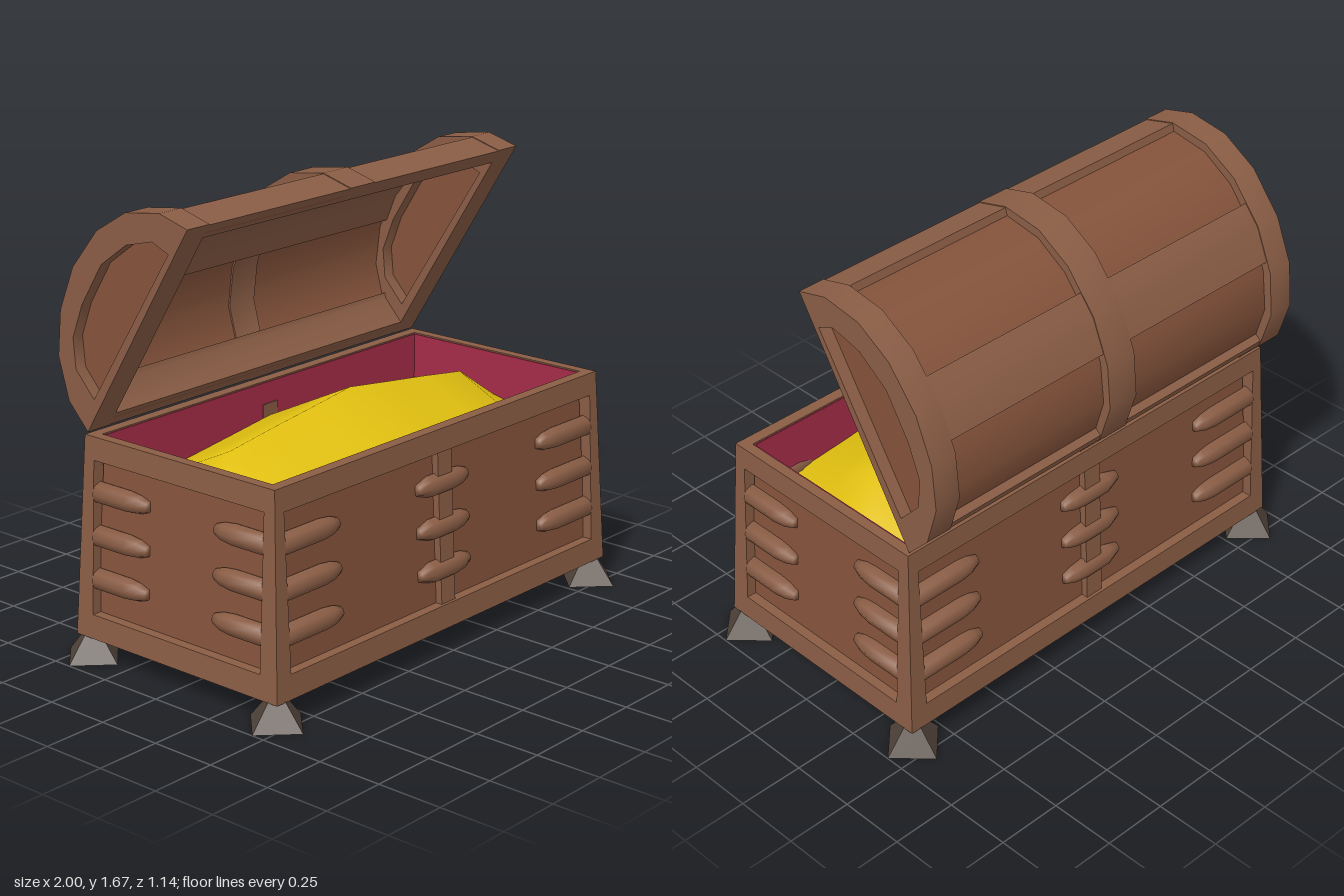
import * as THREE from 'three';
import { toCreasedNormals } from 'three/addons/utils/BufferGeometryUtils.js';

const mat = (color) => new THREE.MeshStandardMaterial({ color, roughness: 0.9, side: THREE.DoubleSide });
const WOOD = mat(0x85533b), FRAME = mat(0x8a5d45), DARK = mat(0x51443a), GOLD = mat(0xe0bf10), RED = mat(0xa52c48);

function add(parent, name, geo, material) {
  const mesh = new THREE.Mesh(geo, material);
  mesh.name = name;
  parent.add(mesh);
  return mesh;
}

// Inward lean of the outer body faces at height y
const lean = (y) => 0.035 * (y - 0.09) / 0.74;

// Box between two corners, with its outer faces leaning inward
function block(parent, name, material, x0, x1, y0, y1, z0, z1) {
  const geo = new THREE.BoxGeometry(x1 - x0, y1 - y0, z1 - z0);
  geo.translate((x0 + x1) / 2, (y0 + y1) / 2, (z0 + z1) / 2);
  const p = geo.attributes.position;
  for (let i = 0; i < p.count; i++) {
    const x = p.getX(i), z = p.getZ(i), d = lean(p.getY(i));
    if (Math.abs(x) > 0.85) p.setX(i, x - Math.sign(x) * d);
    if (Math.abs(z) > 0.405) p.setZ(i, z - Math.sign(z) * d);
  }
  geo.computeVertexNormals();
  return add(parent, name, geo, material);
}

// Rounded strap along x, from a (blunt) to b (tapered); both ends taper if asked
function strapGeometry(length, bothEnds) {
  const h = length / 2, r = 0.04;
  const start = bothEnds ? [[0, -h], [0.02, -h], [r, -h + 0.06]] : [[0, -h], [r, -h]];
  const pts = [...start, [r, h - 0.09], [0.034, h - 0.04], [0.02, h], [0, h]];
  const geo = new THREE.LatheGeometry(pts.map(([x, y]) => new THREE.Vector2(x, y)), 8);
  return geo.rotateZ(-Math.PI / 2);
}

function buildBody() {
  const body = new THREE.Group();
  body.name = 'body';
  for (const s of [-1, 1]) {
    const span = (a, b) => (s > 0 ? [a, b] : [-b, -a]);
    // front and back walls
    block(body, 'longPanel', WOOD, -0.86, 0.86, 0.1, 0.8, ...span(0.432, 0.442));
    block(body, 'longTopRail', FRAME, -0.845, 0.845, 0.745, 0.83, ...span(0.4, 0.48));
    block(body, 'longBottomRail', FRAME, -0.845, 0.845, 0.09, 0.18, ...span(0.4, 0.48));
    block(body, 'centreStrip', FRAME, -0.038, 0.038, 0.18, 0.745, ...span(0.42, 0.468));
    // end walls
    block(body, 'endPanel', WOOD, ...span(0.872, 0.882), 0.1, 0.8, -0.42, 0.42);
    block(body, 'endTopRail', FRAME, ...span(0.845, 0.92), 0.745, 0.83, -0.4, 0.4);
    block(body, 'endBottomRail', FRAME, ...span(0.845, 0.92), 0.09, 0.18, -0.4, 0.4);
    // corner posts and feet
    for (const t of [-1, 1]) {
      const zs = t > 0 ? [0.4, 0.48] : [-0.48, -0.4];
      block(body, 'cornerPost', FRAME, ...span(0.845, 0.92), 0.09, 0.83, ...zs);
      const foot = new THREE.CylinderGeometry(0.035, 0.12, 0.1, 4).toNonIndexed();
      foot.computeVertexNormals();
      add(body, 'foot', foot, DARK).position.set(s * 0.88, 0.05, t * 0.44);
    }
    // cloth lining
    block(body, 'longLining', RED, -0.842, 0.842, 0.6, 0.826, ...span(0.394, 0.398));
    block(body, 'endLining', RED, ...span(0.838, 0.842), 0.6, 0.826, -0.396, 0.396);
    // straps
    for (const y of [0.305, 0.463, 0.622]) {
      const z = s * (0.447 - lean(y)), x = s * (0.887 - lean(y));
      add(body, 'centreStrap', strapGeometry(0.27, true), FRAME).position.set(0, y, z);
      for (const t of [-1, 1]) {
        const long = add(body, 'cornerStrap', strapGeometry(0.29, false), FRAME);
        long.position.set(t * 0.7, y, z);
        long.rotation.y = t > 0 ? Math.PI : 0;
        const end = add(body, 'endStrap', strapGeometry(0.24, false), FRAME);
        end.position.set(x, y, t * 0.28);
        end.rotation.y = t * Math.PI / 2;
      }
    }
  }
  // heap of gold, highest in the middle
  const heap = new THREE.PlaneGeometry(1.68, 0.79, 8, 4).rotateX(-Math.PI / 2);
  const crest = [0.885, 0.857, 0.83, 0.8, 0.66];
  const p = heap.attributes.position;
  for (let i = 0; i < p.count; i++) {
    const k = Math.round(Math.abs(p.getX(i)) / 0.21);
    p.setY(i, Math.max(0.62, crest[k] - 0.48 * Math.abs(p.getZ(i))));
  }
  heap.computeVertexNormals();
  add(body, 'goldHeap', heap, GOLD);
  body.position.z = 0.01;
  return body;
}

// Lid outline as (-z, y), from the front lip over the curve to the hinge
const ARC = [[-0.07, 1.633], [0.058, 1.668], [0.217, 1.646], [0.358, 1.562], [0.48, 1.416],
  [0.549, 1.252], [0.566, 1.084], [0.52, 0.93], [0.43, 0.836]].map(([u, v]) => new THREE.Vector2(u, v));
const HOLE = [[0.02, 1.535], [0.093, 1.566], [0.217, 1.535], [0.34, 1.447], [0.44, 1.29],
  [0.49, 1.164], [0.48, 1.053], [0.394, 0.96]].map(([u, v]) => new THREE.Vector2(u, v));
const CENTRE = new THREE.Vector2(0.18, 1.235);

const inset = (pts, d) => pts.map((p) => p.clone().add(CENTRE.clone().sub(p).setLength(d)));
const between = (i, t) => ARC[i].clone().lerp(ARC[i + 1], t);

// Extrude a lid cross-section along x
function along(shape, x0, x1) {
  const geo = new THREE.ExtrudeGeometry(shape, { depth: x1 - x0, bevelEnabled: false });
  geo.translate(0, 0, x0).rotateY(Math.PI / 2);
  return toCreasedNormals(geo, 0.7);
}
const layer = (pts, d0, d1) => new THREE.Shape([...inset(pts, d0), ...inset(pts, d1).reverse()]);

function buildLid() {
  const lid = new THREE.Group();
  lid.name = 'lid';
  add(lid, 'curvedPanel', along(layer(ARC, 0.033, 0.043), -0.83, 0.83), WOOD);
  add(lid, 'centreBand', along(layer(ARC, 0, 0.05), -0.065, 0.065), FRAME);
  // lengthwise beams
  const beams = {
    frontLip: [ARC[0], between(0, 0.999)],
    middleBeam: [between(3, 0.5), ARC[4], between(4, 0.75)],
    hingeBeam: [between(6, 0.85), ARC[7], ARC[8]],
  };
  for (const [name, pts] of Object.entries(beams)) {
    add(lid, name, along(layer(pts, 0.003, 0.06), -0.8, 0.8), FRAME);
  }
  // end frames with a recessed panel
  for (const s of [-1, 1]) {
    const frame = new THREE.Shape(ARC);
    frame.holes.push(new THREE.Path(HOLE));
    add(lid, 'endFrame', along(frame, s > 0 ? 0.77 : -0.875, s > 0 ? 0.875 : -0.77), FRAME);
    add(lid, 'endPanel', along(new THREE.Shape(inset(HOLE, -0.01)), s * 0.825 - 0.005, s * 0.825 + 0.005), WOOD);
  }
  return lid;
}

export function createModel() {
  const chest = new THREE.Group();
  chest.name = 'chest';
  chest.add(buildBody(), buildLid());
  return chest;
}
